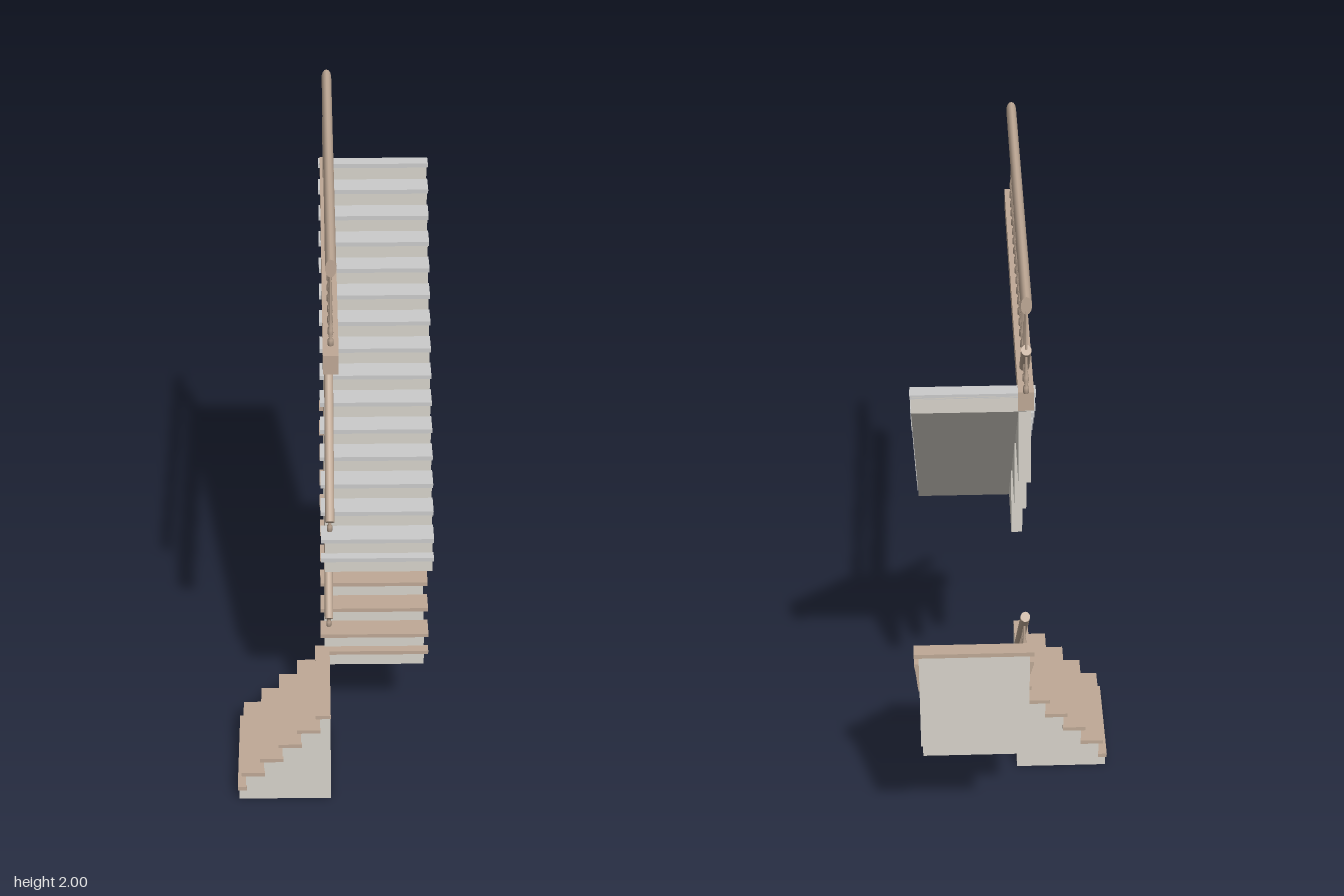
import * as THREE from 'three';

const RISE = 0.0555, GOING = 0.0557, TREAD = 0.013, RAIL_X = -0.015;
const wood = new THREE.MeshStandardMaterial({ color: 0xbfa996 });
const grey = new THREE.MeshStandardMaterial({ color: 0xcccccc });
const plaster = new THREE.MeshStandardMaterial({ color: 0xd8d4cb });

function add(parent, name, geometry, material) {
  const mesh = new THREE.Mesh(geometry, material);
  mesh.name = name;
  parent.add(mesh);
  return mesh;
}

// Side profile (run, height) extruded across the width w0..w1
function slab(points, w0, w1) {
  const shape = new THREE.Shape(points.map(p => new THREE.Vector2(...p)));
  return new THREE.ExtrudeGeometry(shape, { depth: w1 - w0, bevelEnabled: false }).translate(0, 0, w0);
}

// Front edge of tread i, measured along the run; the first step is a short one
const nose = i => (i === 0 ? 0 : 0.013 + GOING * (i - 1));
const riser = i => nose(i) + (i === 0 ? 0.004 : 0.012);

// A flight runs along its local x; underside is listed from the back to the front
function flight(name, { steps, base, end, body, tread, underside, material }) {
  const group = new THREE.Group();
  group.name = name;
  const outline = [];
  for (let i = 0; i < steps; i++) {
    const top = base + RISE * (i + 1) - TREAD / 2;
    const back = i === steps - 1 ? end : riser(i + 1);
    outline.push([riser(i), top], [back, top]);
    const length = Math.min(back + 0.002, end) - nose(i);
    const board = add(group, 'tread', new THREE.BoxGeometry(length, TREAD, tread[1] - tread[0]), material);
    board.position.set(nose(i) + length / 2, base + RISE * (i + 1) - TREAD / 2, (tread[0] + tread[1]) / 2);
  }
  add(group, 'flightBody', slab([...outline, ...underside], ...body), plaster);
  return group;
}

// Turned baluster: square-ish foot, vase and slender shaft
function baluster(height) {
  const profile = [[0, 0], [0.0075, 0], [0.0075, 0.018], [0.004, 0.022], [0.007, 0.036],
    [0.0065, 0.046], [0.0035, 0.066], [0.005, 0.07], [0.0035, 0.074], [0.003, height], [0, height]];
  return new THREE.LatheGeometry(profile.map(p => new THREE.Vector2(...p)), 8);
}

// Oval handrail between two points in the side plane (z, y)
function handrail(name, parent, [z0, y0], [z1, y1], width, height) {
  const dz = z1 - z0, dy = y1 - y0;
  const geometry = new THREE.CylinderGeometry(0.5, 0.5, Math.hypot(dz, dy), 14);
  geometry.scale(width, 1, height).rotateX(Math.atan2(dz, dy));
  add(parent, name, geometry, wood).position.set(RAIL_X, (y0 + y1) / 2, (z0 + z1) / 2);
}

// One baluster per tread, first and last treads left free
function stairBalusters(parent, z0, base, count) {
  const geometry = baluster(0.125);
  for (let i = 1; i <= count; i++) {
    add(parent, 'baluster', geometry, wood)
      .position.set(RAIL_X, base + RISE * (i + 1), z0 - 0.057 - GOING * (i - 1));
  }
}

export function createModel() {
  const model = new THREE.Group();
  model.name = 'staircase';

  // Bottom flight, rising toward +x
  const bottom = flight('bottomFlight', {
    steps: 6, base: 0, end: 0.28, body: [-0.006, 0.3], tread: [-0.02, 0.31], material: wood,
    underside: [[0.28, 0], [0.004, 0]],
  });
  bottom.position.x = -0.293;
  model.add(bottom);

  // Middle flight, rising toward -z on two stepped blocks
  const middle = flight('middleFlight', {
    steps: 11, base: 0.278, end: 0.556, body: [-0.028, 0.275], tread: [-0.04, 0.288], material: wood,
    underside: [[0.556, 0.56], [0.276, 0.56], [0.276, 0.28], [0.004, 0.28]],
  });
  middle.rotation.y = Math.PI / 2;
  middle.position.z = 0.01;
  model.add(middle);

  // Top flight with a sloping soffit
  const top = flight('topFlight', {
    steps: 16, base: 0.834, end: 0.832, body: [-0.028, 0.275], tread: [-0.04, 0.278], material: grey,
    underside: [[0.832, 1.668], [0.004, 0.84]],
  });
  top.rotation.y = Math.PI / 2;
  top.position.z = 0.285;
  model.add(top);

  // Three thin triangular walls below the soffit
  for (let i = 0; i < 3; i++) {
    const u = 0.055 + 0.277 * i, y = 0.895 + 0.277 * i;
    add(top, 'supportWall', slab([[u, y], [u + 0.221, y], [u + 0.221, y + 0.221]], -0.028, 0.004), plaster);
  }

  // Railings of the middle and top flights
  stairBalusters(model, 0.01, 0.278, 9);
  handrail('middleHandrail', model, [0.01, 0.46], [-0.55, 1.015], 0.026, 0.028);
  stairBalusters(model, 0.285, 0.834, 14);
  handrail('topHandrail', model, [0.285, 1.015], [-0.55, 1.85], 0.026, 0.028);

  // Landing balustrade: beam, balusters and rail
  add(model, 'landingBeam', new THREE.BoxGeometry(0.04, 0.054, 1.11), wood).position.set(RAIL_X, 1.698, 0.007);
  const tall = baluster(0.235);
  for (let i = 0; i < 20; i++) {
    add(model, 'landingBaluster', tall, wood).position.set(RAIL_X, 1.724, 0.508 - 0.0555 * i);
  }
  handrail('landingHandrail', model, [0.562, 1.975], [-0.548, 1.975], 0.028, 0.05);

  return model;
}
